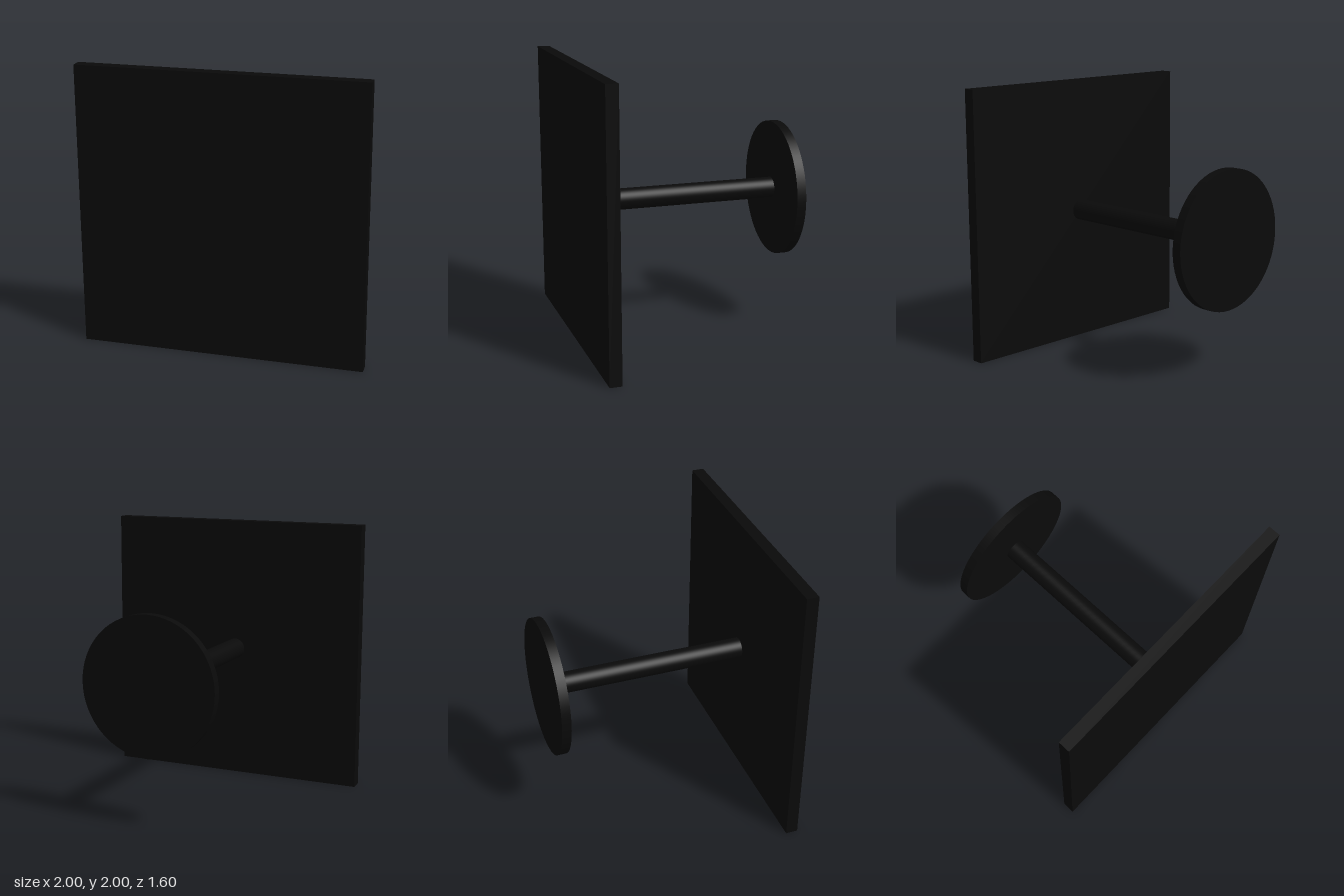
import * as THREE from 'three';

export function createModel() {
  const group = new THREE.Group();
  const material = new THREE.MeshStandardMaterial({ color: 0x0a0a0a });

  const add = (name, geometry, y, z) => {
    const mesh = new THREE.Mesh(geometry, material);
    mesh.name = name;
    mesh.position.set(0, y, z);
    group.add(mesh);
  };
  // Cylinder lying along z
  const rod = (radius, length) =>
    new THREE.CylinderGeometry(radius, radius, length, 64).rotateX(Math.PI / 2);

  // Square front panel
  add('panel', new THREE.BoxGeometry(2, 2, 0.088), 1, 0.756);
  // Stem joining the panel to the round base
  add('stem', rod(0.077, 1.46), 1.003, -0.01);
  // Round mounting plate at the back
  add('mountingPlate', rod(0.498, 0.068), 1.003, -0.766);

  return group;
}
